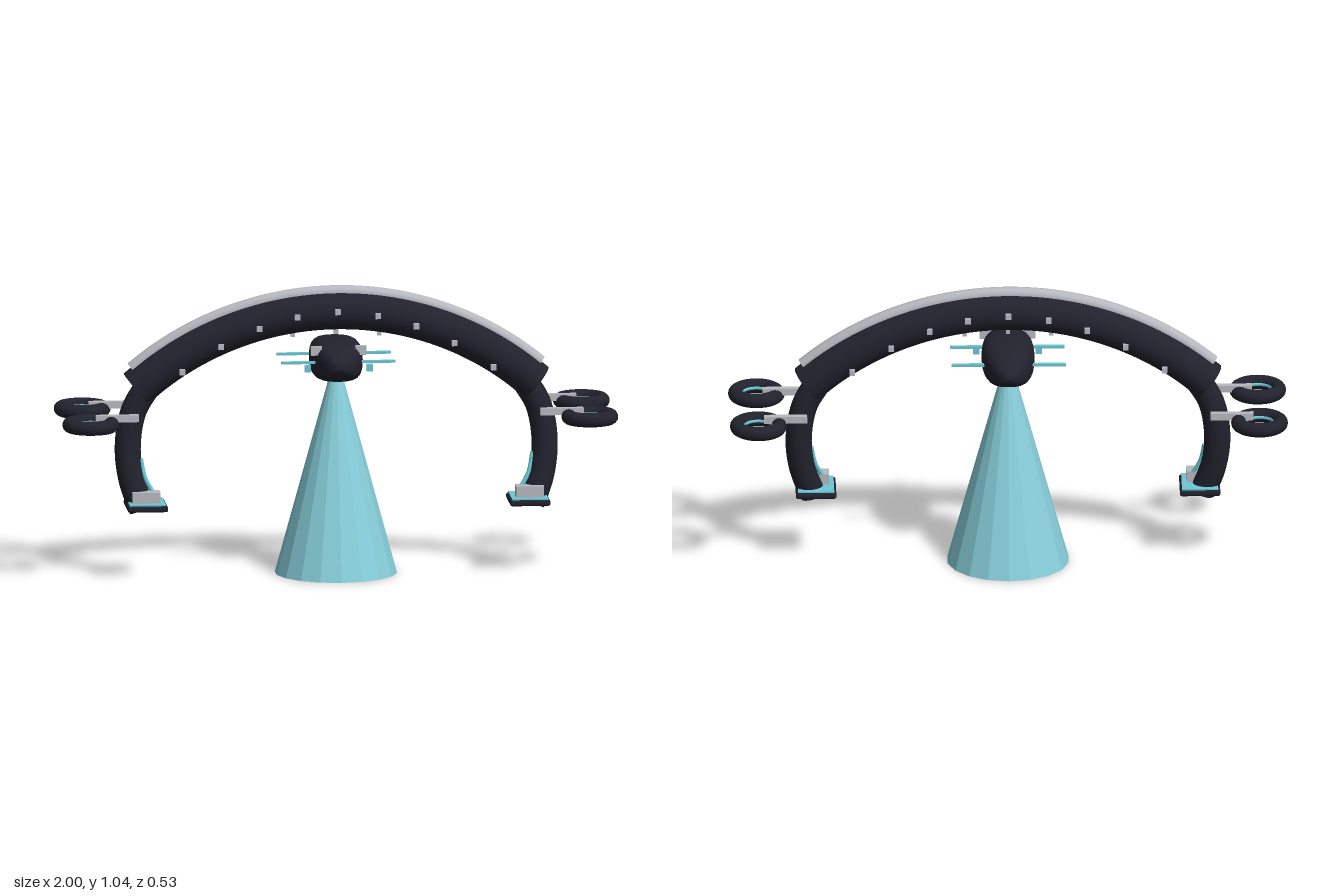
import * as THREE from 'three';
import { RoundedBoxGeometry } from 'three/addons/geometries/RoundedBoxGeometry.js';

const mat = (name, color, extra = {}) => {
  const m = new THREE.MeshStandardMaterial({ color, ...extra });
  m.name = name;
  return m;
};

export function createModel() {
  const dark = mat('dark hull', 0x22222e);
  const silver = mat('silver trim', 0xb6b9bf);
  const cyan = mat('cyan glow', 0x6cc8d4);
  const beamColor = mat('pale cyan beam', 0x88d0dc, { flatShading: true });

  const root = new THREE.Group();
  root.name = 'archCraft';

  const add = (name, geo, material, x = 0, y = 0, z = 0) => {
    const m = new THREE.Mesh(geo, material);
    m.name = name;
    m.position.set(x, y, z);
    root.add(m);
    return m;
  };
  const box = (name, material, size, pos) => add(name, new THREE.BoxGeometry(...size), material, ...pos);

  // Tube along a curve with flat end caps
  const cappedTube = (name, curve, r, material, steps = 40, sides = 20) => {
    add(name, new THREE.TubeGeometry(curve, steps, r, sides), material);
    for (const t of [0, 1]) {
      const cap = add(name + 'Cap', new THREE.CircleGeometry(r, sides), material);
      const dir = curve.getTangentAt(t).multiplyScalar(t ? 1 : -1);
      cap.position.copy(curve.getPointAt(t));
      cap.quaternion.setFromUnitVectors(new THREE.Vector3(0, 0, 1), dir);
    }
  };

  // Circular arc over the top, centred on x = 0
  const arc = (radius, halfWidth) => {
    const a = Math.asin(halfWidth / radius), pts = [];
    for (let i = 0; i <= 16; i++) {
      const t = -a + (2 * a * i) / 16;
      pts.push(new THREE.Vector3(radius * Math.sin(t), radius * Math.cos(t) - 0.125, 0));
    }
    return new THREE.CatmullRomCurve3(pts);
  };

  // Main arch and the rail on its crest
  cappedTube('arch', arc(1.08, 0.72), 0.07, dark, 56, 24);
  cappedTube('crestRail', arc(1.145, 0.735), 0.025, silver, 56, 12);

  // Studs on both faces of the arch and under its middle
  const studs = [[0, 0.96], [0.145, 0.943], [0.282, 0.904], [0.42, 0.84], [0.56, 0.75]];
  for (const [x, y] of studs)
    for (const sx of x ? [-1, 1] : [1])
      for (const sz of [-1, 1])
        box('archStud', silver, [0.02, 0.02, 0.018], [sx * x, y, sz * 0.073]);
  for (const x of [-0.155, 0, 0.155])
    box('undersideStud', silver, [0.015, 0.02, 0.015], [x, x ? 0.87 : 0.878, 0]);

  // Central pod: ellipsoid with squared-off cross-section
  const pod = new THREE.SphereGeometry(1, 32, 24);
  pod.rotateX(Math.PI / 2);
  const p = pod.attributes.position;
  for (let i = 0; i < p.count; i++) {
    const x = p.getX(i), y = p.getY(i), z = p.getZ(i);
    const r = Math.hypot(x, y);
    const k = r > 1e-6 ? r / Math.pow((x / r) ** 4 + (y / r) ** 4, 0.18) / r : 0;
    p.setXYZ(i, x * k * 0.095, y * k * 0.077, z * 0.222);
  }
  pod.computeVertexNormals();
  add('pod', pod, dark, 0, 0.778, -0.007);

  // Light bars across the pod
  for (const z of [-0.09, 0.09])
    box('podLightBar', cyan, [0.41, 0.009, 0.014], [0, 0.781, z]);

  // Downward beam
  add('beam', new THREE.CylinderGeometry(0.028, 0.22, 0.7, 18), beamColor, 0, 0.35, 0);

  for (const s of [-1, 1]) {
    const v = (x, y, z) => new THREE.Vector3(s * x, y, z);

    // Sensors on the pod's front quarter
    box('podSensor', silver, [0.04, 0.033, 0.015], [s * 0.08, 0.826, 0.105]);
    box('podLamp', cyan, [0.022, 0.025, 0.015], [s * 0.112, 0.762, 0.105]);

    // Curved leg, with a glowing strip along its inner side
    cappedTube('leg', new THREE.CatmullRomCurve3([
      v(0.67, 0.7, 0), v(0.728, 0.6, 0), v(0.75, 0.47, 0.006),
      v(0.737, 0.35, 0.02), v(0.7, 0.245, 0.036)]), 0.047, dark, 30);
    cappedTube('legStrip', new THREE.CatmullRomCurve3([
      v(0.705, 0.43, 0.022), v(0.69, 0.36, 0.035), v(0.65, 0.29, 0.05)]), 0.008, cyan, 16, 8);

    // Foot plate, glowing sheet and silver block
    add('footPlate', new RoundedBoxGeometry(0.145, 0.022, 0.176, 2, 0.008), dark, s * 0.688, 0.262, 0.045);
    box('footGlow', cyan, [0.13, 0.006, 0.16], [s * 0.688, 0.275, 0.045]);
    box('footBlock', silver, [0.1, 0.04, 0.06], [s * 0.69, 0.297, 0.067]);

    // Ring thrusters on short arms, front and back
    for (const z of [-1, 1]) {
      const ring = add('ring', new THREE.TorusGeometry(0.076, 0.026, 16, 40), dark, s * 0.898, 0.581, z * 0.165);
      const glow = add('ringGlow', new THREE.TorusGeometry(0.054, 0.007, 8, 40), cyan, s * 0.898, 0.581, z * 0.165);
      ring.rotation.x = glow.rotation.x = Math.PI / 2;
      box('ringArm', silver, [0.155, 0.025, 0.025], [s * 0.8, 0.598, z * 0.14]);
    }
  }
  return root;
}
